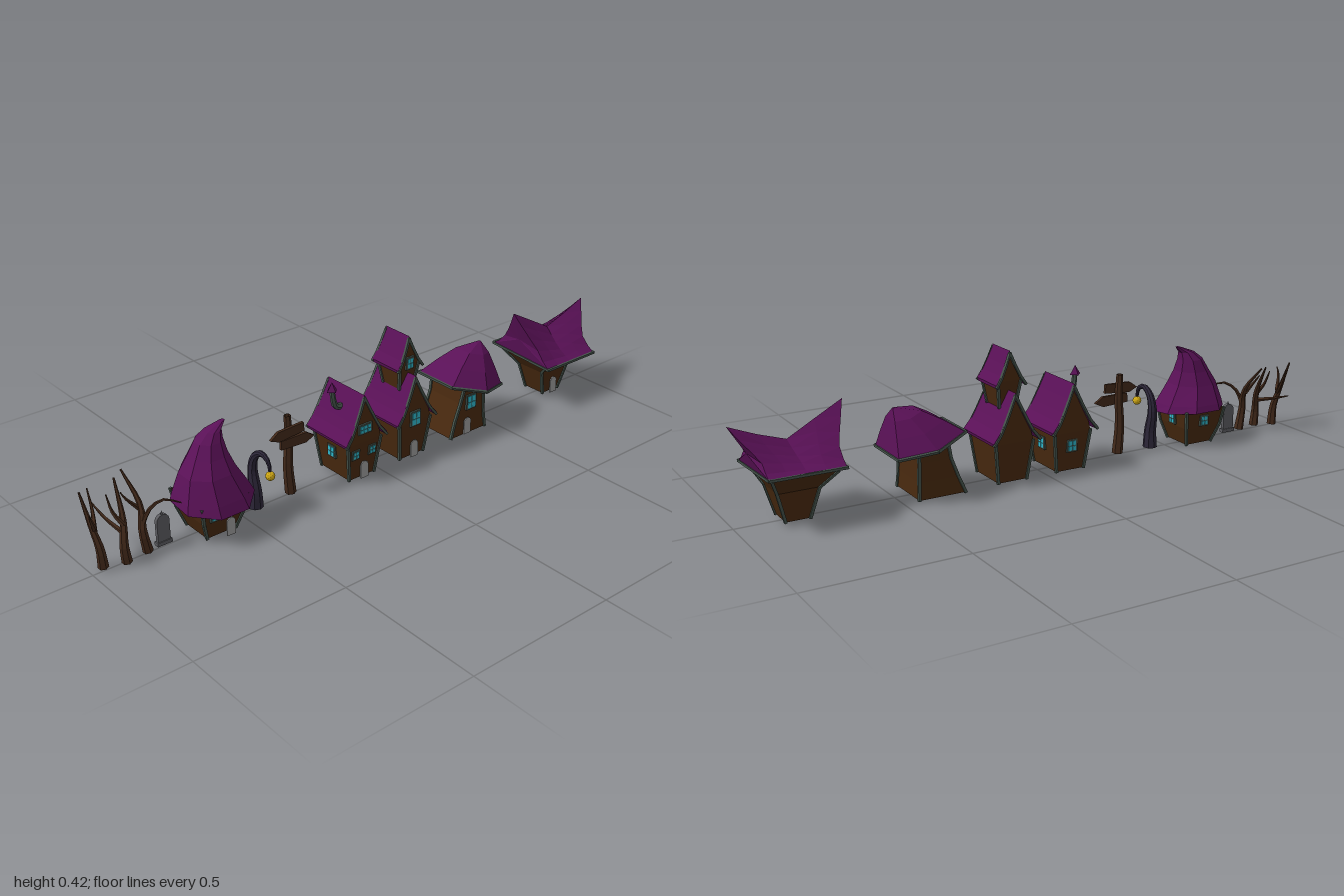
import * as THREE from 'three';

const V = (x, y, z) => new THREE.Vector3(x, y, z);
const mat = (color) => new THREE.MeshStandardMaterial({ color, flatShading: true, side: THREE.DoubleSide });
const M = {
  roof: mat(0x5a1157), wall: mat(0x48290f), trim: mat(0x44524a), glass: mat(0x2fb8cc), door: mat(0x9c9c9c),
  bark: mat(0x42291a), stone: mat(0x5c5c60), iron: mat(0x2c2638), glow: mat(0xd0a814),
};

function add(parent, name, geo, material) {
  const m = new THREE.Mesh(geo, material);
  m.name = name;
  parent.add(m);
  return m;
}

// Skin between rings of equal point count, both ends closed
function loft(rings) {
  const p = [], n = rings[0].length;
  const tri = (...vs) => vs.forEach((v) => p.push(v.x, v.y, v.z));
  for (let i = 0; i < rings.length - 1; i++) for (let j = 0; j < n; j++) {
    const k = (j + 1) % n, a = rings[i], b = rings[i + 1];
    tri(a[j], a[k], b[k]);
    tri(a[j], b[k], b[j]);
  }
  [rings[0], rings[rings.length - 1]].forEach((r, e) => {
    const c = r.reduce((s, v) => s.add(v), V(0, 0, 0)).divideScalar(n);
    for (let j = 0; j < n; j++) {
      const k = (j + 1) % n;
      e ? tri(c, r[j], r[k]) : tri(c, r[k], r[j]);
    }
  });
  const g = new THREE.BufferGeometry();
  g.setAttribute('position', new THREE.Float32BufferAttribute(p, 3));
  g.computeVertexNormals();
  return g;
}

// Square stick between two points
function beam(parent, name, a, b, w, material = M.trim) {
  const d = b.clone().sub(a);
  const m = add(parent, name, new THREE.BoxGeometry(w, d.length() + w * 0.4, w), material);
  m.position.copy(a).add(b).multiplyScalar(0.5);
  m.quaternion.setFromUnitVectors(V(0, 1, 0), d.normalize());
}

// Tube that tapers from r0 to r1
function taper(parent, name, pts, r0, r1, material, sides = 6, segs = 10) {
  const path = new THREE.CatmullRomCurve3(pts.map((q) => V(...q)));
  const g = new THREE.TubeGeometry(path, segs, r0, sides);
  const pos = g.attributes.position, v = V(0, 0, 0);
  for (let i = 0; i < pos.count; i++) {
    const t = Math.floor(i / (sides + 1)) / segs, c = path.getPointAt(t);
    v.fromBufferAttribute(pos, i).sub(c).multiplyScalar(1 + (r1 / r0 - 1) * t).add(c);
    pos.setXYZ(i, v.x, v.y, v.z);
  }
  g.computeVertexNormals();
  add(parent, name, g, material);
}

// Walls from stacked rectangles [y, x0, x1, z0, z1], with corner posts on the first few
function walls(parent, rects, posts) {
  const rings = rects.map(([y, x0, x1, z0, z1]) => [V(x0, y, z1), V(x1, y, z1), V(x1, y, z0), V(x0, y, z0)]);
  add(parent, 'walls', loft(rings), M.wall);
  for (let i = 0; i < posts - 1; i++)
    for (let j = 0; j < 4; j++) beam(parent, 'cornerPost', rings[i][j], rings[i + 1][j], 0.009);
}

// Flat panel with an arched top
function arch(w, h, d) {
  const s = new THREE.Shape(), r = w / 2;
  s.moveTo(-r, 0).lineTo(r, 0).lineTo(r, h - r).absarc(0, h - r, r, 0, Math.PI).lineTo(-r, 0);
  return new THREE.ExtrudeGeometry(s, { depth: d, bevelEnabled: false, curveSegments: 6 });
}

function door(parent, x, z, w = 0.03, h = 0.058) {
  add(parent, 'door', arch(w, h, 0.004), M.door).position.set(x, 0.008, z);
}

// Window of cols x rows panes in a frame
function windowAt(parent, [x, y, z], w, h, cols = 2, rows = 2, turn = 0, tilt = 0) {
  const g = new THREE.Group();
  g.name = 'window';
  add(g, 'frame', new THREE.BoxGeometry(w + 0.008, h + 0.008, 0.008), M.trim);
  for (let i = 0; i < cols; i++) for (let j = 0; j < rows; j++)
    add(g, 'pane', new THREE.BoxGeometry(w / cols - 0.003, h / rows - 0.003, 0.011), M.glass)
      .position.set(((i + 0.5) / cols - 0.5) * w, ((j + 0.5) / rows - 0.5) * h, 0);
  g.position.set(x, y, z);
  g.rotation.set(tilt, turn, 0, 'YXZ');
  parent.add(g);
}

// Swept gable roof; half is a list of [dx, y] from ridge to eave
function gableRoof(parent, cx, half, z0, z1, flare) {
  const top = [...half].reverse().map(([x, y]) => [-x, y]).concat(half.slice(1));
  const under = [...top].reverse().map(([x, y]) => [x * 0.97, y - 0.01]);
  const s = new THREE.Shape([...top, ...under].map(([x, y]) => new THREE.Vector2(x, y)));
  const g = new THREE.ExtrudeGeometry(s, { depth: 1, bevelEnabled: false });
  const pos = g.attributes.position, hi = half[0][1], lo = half[half.length - 1][1];
  const zAt = (t, y) => (t ? z1 : z0) + (t ? 1 : -1) * flare * (hi - y) / (hi - lo);
  for (let i = 0; i < pos.count; i++) pos.setZ(i, zAt(pos.getZ(i) > 0.5, pos.getY(i)));
  g.computeVertexNormals();
  add(parent, 'gableRoof', g, M.roof).position.x = cx;
  for (const t of [0, 1]) for (let i = 0; i < top.length - 1; i++) {
    const [a, b] = [top[i], top[i + 1]].map(([x, y]) => V(cx + x * 0.98, y - 0.007, zAt(t, y)));
    beam(parent, 'bargeboard', a, b, 0.008);
  }
}

function gableHouse(parent, cx) {
  walls(parent, [[0.006, 0.05, 0.068], [0.135, 0.066, 0.083], [0.16, 0.06, 0.083], [0.21, 0.037, 0.083], [0.275, 0.002, 0.08]]
    .map(([y, hx, hz]) => [y, cx - hx, cx + hx, -hz, hz]), 2);
  gableRoof(parent, cx, [[0, 0.295], [0.022, 0.247], [0.042, 0.207], [0.058, 0.178], [0.083, 0.147]], -0.09, 0.084, 0.011);
  door(parent, cx, 0.08);
}

export function createModel() {
  const root = new THREE.Group();
  const group = (name) => {
    const g = new THREE.Group();
    g.name = name;
    root.add(g);
    return g;
  };

  // Bare trees: a trunk and its branches
  const trees = [
    [[[-0.96, 0.005, -0.01], [-0.965, 0.07, -0.01], [-0.975, 0.14, -0.03], [-0.985, 0.235, -0.06]],
      [[-0.97, 0.12, -0.02], [-0.95, 0.16, -0.06], [-0.945, 0.22, -0.09]], [[-0.97, 0.13, -0.02], [-0.99, 0.18, 0.0], [-1, 0.2, 0.02]]],
    [[[-0.895, 0.005, 0.01], [-0.9, 0.06, 0.01], [-0.885, 0.13, -0.01], [-0.87, 0.235, -0.07]],
      [[-0.895, 0.1, 0], [-0.91, 0.12, -0.07], [-0.915, 0.145, -0.14]], [[-0.89, 0.12, 0], [-0.91, 0.16, -0.02], [-0.915, 0.21, -0.04]]],
    [[[-0.82, 0.005, 0.0], [-0.832, 0.08, 0.0], [-0.822, 0.15, -0.02], [-0.835, 0.24, -0.09]],
      [[-0.83, 0.1, 0], [-0.81, 0.145, 0.01], [-0.775, 0.172, 0.03], [-0.735, 0.16, 0.06]], [[-0.825, 0.14, -0.02], [-0.86, 0.18, -0.03], [-0.87, 0.2, -0.04]]],
  ];
  trees.forEach(([trunk, ...branches]) => {
    const g = group('bareTree');
    taper(g, 'trunk', trunk, 0.016, 0.003, M.bark);
    branches.forEach((b) => taper(g, 'branch', b, 0.008, 0.002, M.bark, 5, 6));
  });

  // Tombstone
  const tomb = group('tombstone');
  add(tomb, 'slab', arch(0.042, 0.095, 0.012), M.stone).position.set(-0.765, 0.01, -0.01);
  add(tomb, 'plinth', new THREE.BoxGeometry(0.05, 0.012, 0.018), M.stone).position.set(-0.765, 0.012, -0.004);
  add(tomb, 'finial', new THREE.ConeGeometry(0.005, 0.014, 4), M.stone).position.set(-0.765, 0.11, -0.004);

  // Hat-roofed cottage
  const hat = group('hatHouse');
  walls(hat, [[0.004, -0.655, -0.555, -0.05, 0.055], [0.065, -0.675, -0.538, -0.07, 0.075], [0.125, -0.685, -0.53, -0.08, 0.085]], 3);
  const hatRing = (y, cx, r, cz, tilt = 0) => Array.from({ length: 8 }, (_, i) => {
    const a = (i + 0.5) / 8 * Math.PI * 2, z = Math.cos(a) * r;
    return V(cx + Math.sin(a) * r, y - z * tilt, cz + z);
  });
  add(hat, 'hatRoof', loft([hatRing(0.128, -0.605, 0.085, 0.005), hatRing(0.113, -0.602, 0.126, 0.015, 0.1),
    hatRing(0.14, -0.605, 0.115, 0.012, 0.05), hatRing(0.205, -0.613, 0.084, 0.01), hatRing(0.25, -0.606, 0.06, 0.005),
    hatRing(0.29, -0.596, 0.043, 0), hatRing(0.315, -0.58, 0.027, 0), hatRing(0.335, -0.545, 0.008, 0)]), M.roof);
  door(hat, -0.59, 0.084);
  for (const x of [-0.64, -0.575]) windowAt(hat, [x, 0.09, 0.081], 0.026, 0.03);
  windowAt(hat, [-0.605, 0.09, -0.076], 0.026, 0.03);
  for (const s of [-1, 1]) windowAt(hat, [-0.607 + s * 0.074, 0.09, 0], 0.026, 0.03, 2, 2, Math.PI / 2);

  // Curled street lamp
  const lamp = group('streetLamp');
  taper(lamp, 'post', [[-0.44, 0.004, 0], [-0.44, 0.06, 0], [-0.44, 0.13, -0.01], [-0.44, 0.18, 0.005], [-0.44, 0.203, 0.04],
    [-0.44, 0.19, 0.072], [-0.44, 0.16, 0.08]], 0.024, 0.005, M.iron, 8, 16);
  add(lamp, 'lampGlobe', new THREE.IcosahedronGeometry(0.015, 1), M.glow).position.set(-0.44, 0.145, 0.08);

  // Crooked signpost
  const sign = group('signpost');
  taper(sign, 'post', [[-0.308, 0.004, 0], [-0.315, 0.1, 0], [-0.31, 0.2, 0], [-0.313, 0.272, 0]], 0.018, 0.011, M.bark);
  const plank = (x, y, z, dir, tilt) => {
    const s = new THREE.Shape([[-0.06, -0.016], [0.035, -0.016], [0.065, 0], [0.035, 0.018], [-0.06, 0.014]]
      .map(([px, py]) => new THREE.Vector2(px * dir, py)));
    const m = add(sign, 'plank', new THREE.ExtrudeGeometry(s, { depth: 0.01, bevelEnabled: false }), M.bark);
    m.position.set(x, y, z);
    m.rotation.z = tilt;
  };
  plank(-0.325, 0.222, 0.01, -1, 0.08);
  plank(-0.29, 0.185, 0.008, 1, -0.05);

  // Gabled house with crooked chimney
  const cottage = group('chimneyHouse');
  gableHouse(cottage, -0.08);
  windowAt(cottage, [-0.08, 0.182, 0.085], 0.045, 0.026, 3, 2);
  for (const s of [-1, 1]) {
    windowAt(cottage, [-0.08 + s * 0.033, 0.097, 0.079], 0.022, 0.026, 2, 2, 0, 0.1);
    windowAt(cottage, [-0.08 + s * 0.062, 0.09, 0], 0.03, 0.034, 2, 2, Math.PI / 2);
  }
  windowAt(cottage, [-0.08, 0.09, -0.078], 0.03, 0.034);
  taper(cottage, 'chimney', [[-0.095, 0.235, 0], [-0.125, 0.24, 0], [-0.135, 0.265, 0], [-0.14, 0.305, 0]], 0.011, 0.008, M.trim);
  add(cottage, 'chimneyCap', new THREE.ConeGeometry(0.019, 0.03, 4), M.roof).position.set(-0.14, 0.312, 0);

  // Gabled house with a tower on the ridge
  const tower = group('towerHouse');
  gableHouse(tower, 0.13);
  windowAt(tower, [0.13, 0.147, 0.085], 0.034, 0.045);
  const rect = (y, hx, hz) => [y, 0.13 - hx, 0.13 + hx, -hz, hz];
  walls(tower, [rect(0.24, 0.028, 0.038), rect(0.325, 0.04, 0.052), rect(0.355, 0.026, 0.052), rect(0.4, 0.002, 0.05)], 2);
  gableRoof(tower, 0.13, [[0, 0.42], [0.018, 0.378], [0.034, 0.345], [0.052, 0.318]], -0.056, 0.05, 0.009);
  windowAt(tower, [0.13, 0.33, 0.054], 0.024, 0.034);

  // Leaning house under a lopsided six-sided roof
  const lean = group('leaningHouse');
  walls(lean, [[0.006, 0.3, 0.455, -0.08, 0.076], [0.06, 0.322, 0.452, -0.074, 0.07], [0.12, 0.345, 0.45, -0.074, 0.07],
    [0.19, 0.36, 0.455, -0.08, 0.076]], 4);
  const eave = [[0.297, 0.197, 0.08], [0.41, 0.165, 0.128], [0.52, 0.145, 0.085], [0.52, 0.145, -0.085], [0.41, 0.165, -0.125], [0.297, 0.197, -0.082]]
    .map((q) => V(...q));
  const peak = V(0.497, 0.285, 0);
  const roofRing = (t, up) => eave.map((q) => q.clone().lerp(peak, t).add(V(0, up, 0)));
  add(lean, 'hipRoof', loft([roofRing(0, 0), roofRing(0.3, 0.013), roofRing(0.6, 0.019), roofRing(0.97, 0)]), M.roof);
  eave.forEach((q, i) => beam(lean, 'eaveTrim', q, eave[(i + 1) % 6], 0.008));
  windowAt(lean, [0.39, 0.118, 0.073], 0.036, 0.046);
  door(lean, 0.37, 0.078);

  // Top-heavy house with a saddle roof
  const saddle = group('saddleHouse');
  walls(saddle, [[0.007, 0.785, 0.86, -0.044, 0.036], [0.1, 0.757, 0.885, -0.056, 0.052], [0.158, 0.718, 0.915, -0.108, 0.11]], 3);
  const ridgeY = [0.335, 0.288, 0.24, 0.268, 0.303];
  const stations = ridgeY.map((ry, i) => {
    const u = i / 4, ring = [];
    for (let k = -5; k <= 5; k++) {
      const s = Math.abs(k) / 5, ey = 0.163 - k * 0.0015;
      const x = THREE.MathUtils.lerp(0.655 + 0.345 * u, 0.7 + 0.23 * u, Math.min(1, s * 1.8));
      ring.push(V(x, ey + (ry - ey) * (1 - s) ** 1.35, k / 5 * 0.132));
    }
    return ring;
  });
  add(saddle, 'saddleRoof', loft(stations), M.roof);
  const corners = [stations[0][0], stations[4][0], stations[4][10], stations[0][10]];
  corners.forEach((q, i) => beam(saddle, 'eaveTrim', q, corners[(i + 1) % 4], 0.008));
  for (const s of [-1, 1]) windowAt(saddle, [0.82 + s * 0.032, 0.127, 0.079], 0.034, 0.042, 2, 2, 0, 0.75);
  door(saddle, 0.82, 0.05);

  return root;
}
